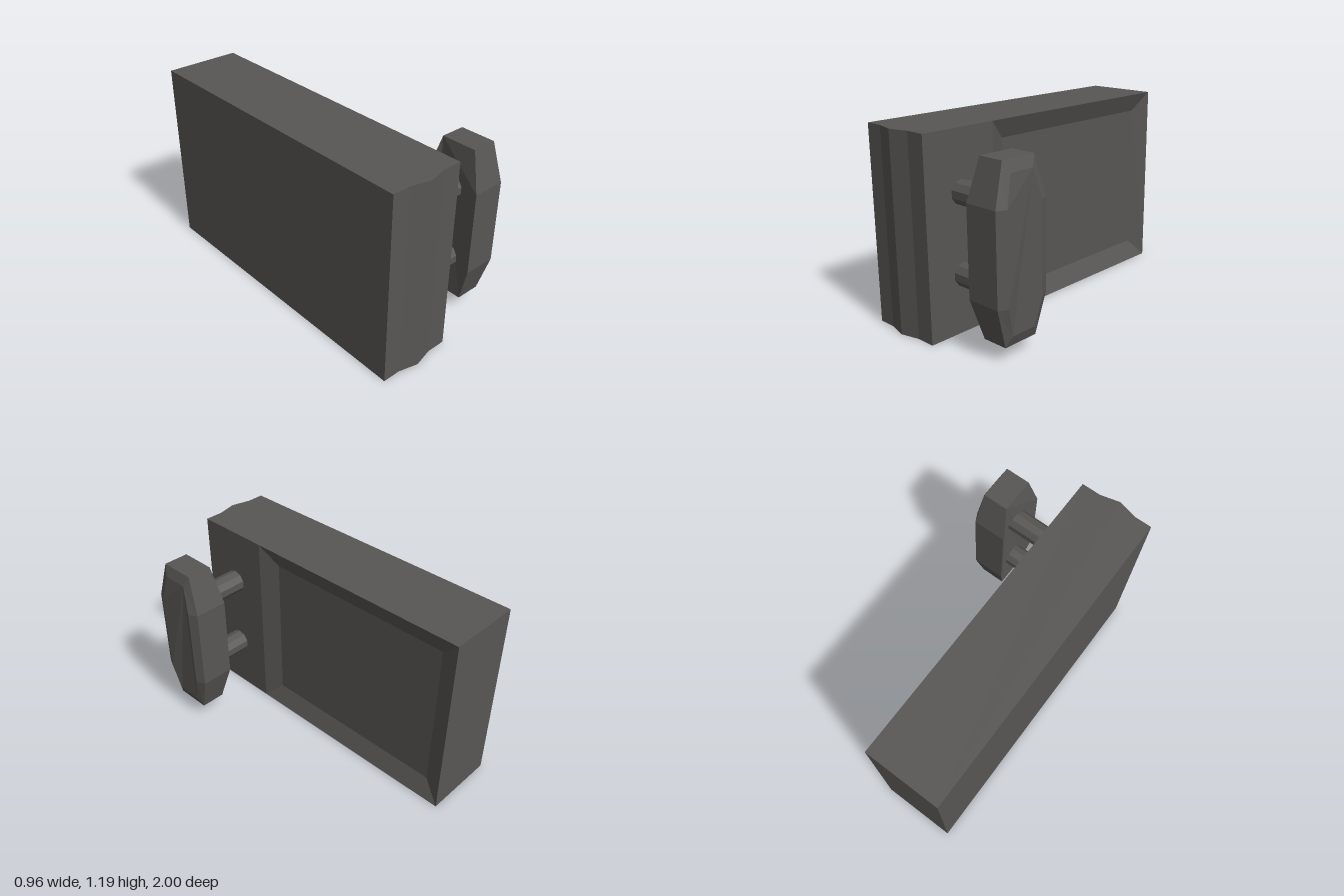
import * as THREE from 'three';

const H = 1.19, LEFT = -0.48, RIGHT = -0.01;

// Flat-sided geometry from polygons, each fanned from its first corner
function facets(polygons) {
  const pos = [];
  for (const p of polygons)
    for (let i = 1; i < p.length - 1; i++) pos.push(...p[0], ...p[i], ...p[i + 1]);
  const g = new THREE.BufferGeometry();
  g.setAttribute('position', new THREE.Float32BufferAttribute(pos, 3));
  g.computeVertexNormals();
  return g;
}

// Quads joining two matching loops
const bridge = (a, b) => a.map((p, i) => {
  const j = (i + 1) % a.length;
  return [p, a[j], b[j], b[i]];
});

function blockGeometry() {
  // Plan outline with a ridged front, counter-clockwise from above
  const plan = [[LEFT, -1], [LEFT, 0.97], [-0.37, 0.97], [-0.25, 1], [-0.13, 0.97], [RIGHT, 0.97], [RIGHT, -1]];
  const top = plan.map(([x, z]) => [x, H, z]);
  const bottom = plan.map(([x, z]) => [x, 0, z]);
  const walls = bridge(bottom, top).filter((_, i) => i !== 5); // right side is made below
  // Right side: flat front strip and a bevelled recess behind it
  const rect = (x, z0, z1, y0, y1) => [[x, y0, z0], [x, y0, z1], [x, y1, z1], [x, y1, z0]];
  const rim = rect(RIGHT, 0.48, -1, 0, H);
  const panel = rect(RIGHT - 0.05, 0.36, -0.88, 0.12, H - 0.12);
  return facets([top, [bottom[0], ...bottom.slice(1).reverse()], ...walls,
    rect(RIGHT, 0.97, 0.48, 0, H), ...bridge(rim, panel), panel]);
}

function gripGeometry() {
  // Long octagon, with its ends at a different x from its middle
  const loop = (xEnd, xMid, yEnd, zEnd, zMid) => {
    const c = 0.595, m = 0.265, z = 0.725;
    return [[xEnd, c + yEnd, z - zEnd], [xEnd, c + yEnd, z + zEnd],
      [xMid, c + m, z + zMid], [xMid, c - m, z + zMid],
      [xEnd, c - yEnd, z + zEnd], [xEnd, c - yEnd, z - zEnd],
      [xMid, c - m, z - zMid], [xMid, c + m, z - zMid]];
  };
  const inner = loop(0.275, 0.24, 0.505, 0.113, 0.181);
  const outer = loop(0.435, 0.453, 0.505, 0.113, 0.181);
  const cap = loop(0.46, 0.48, 0.44, 0.08, 0.125);
  return facets([[inner[0], ...inner.slice(1).reverse()],
    ...bridge(inner, outer), ...bridge(outer, cap), cap]);
}

export function createModel() {
  const model = new THREE.Group();
  const darkGrey = new THREE.MeshStandardMaterial({ color: 0x585654, flatShading: true });
  darkGrey.name = 'darkGrey';
  const add = (name, geometry) => {
    const mesh = new THREE.Mesh(geometry, darkGrey);
    mesh.name = name;
    model.add(mesh);
    return mesh;
  };

  add('block', blockGeometry());
  add('grip', gripGeometry());

  // Posts between block and grip
  for (const [name, y] of [['upperPost', 0.833], ['lowerPost', 0.355]]) {
    const post = new THREE.CylinderGeometry(0.073, 0.073, 0.32, 10);
    post.rotateY(Math.PI / 2).rotateZ(-Math.PI / 2);
    add(name, post).position.set(0.13, y, 0.72);
  }
  return model;
}
